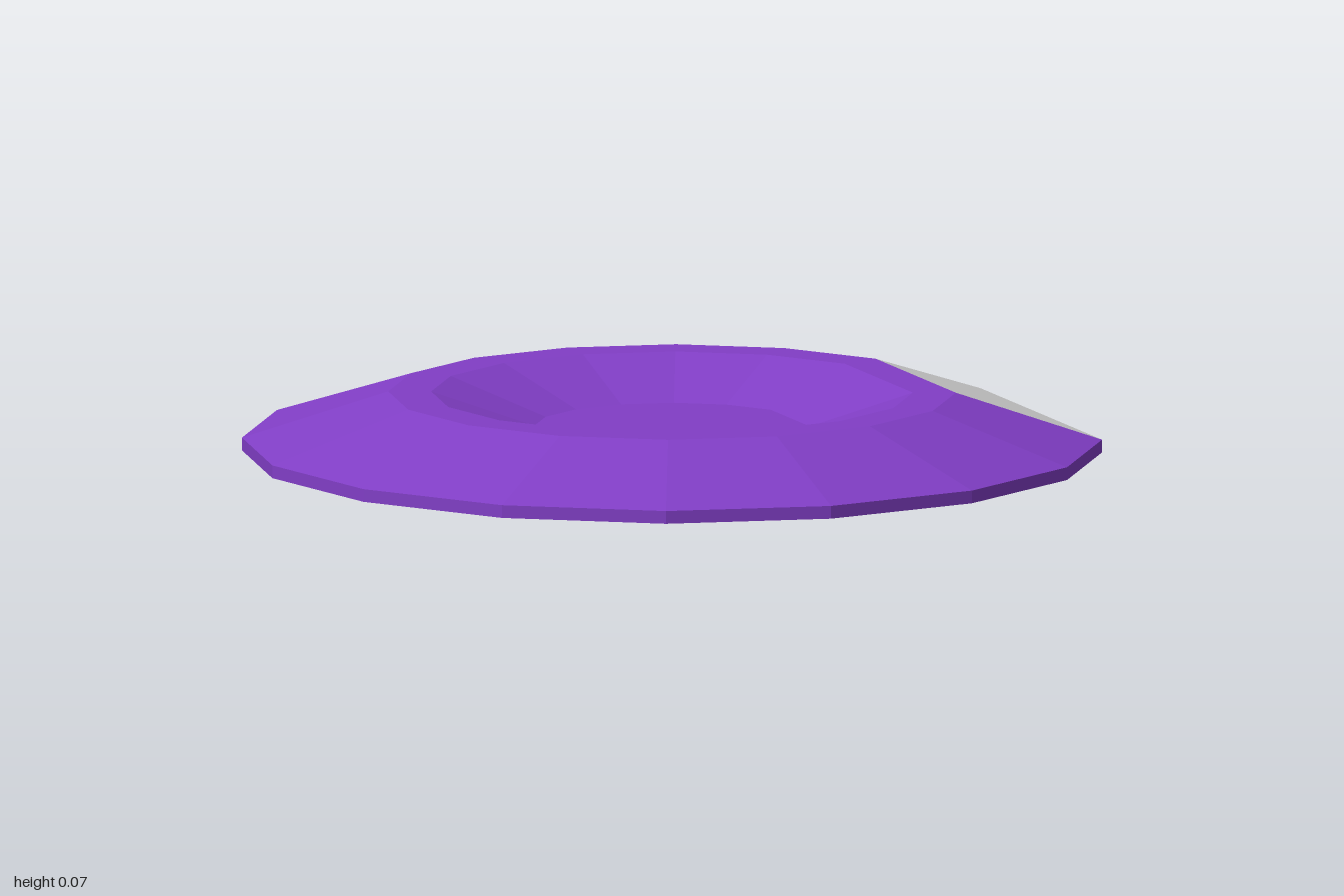
import * as THREE from 'three';

const STEPS = 16;          // sixteen-sided disc with the +x corner cut away
const CENTRE_X = 0.018;    // cutting that corner shifts the axis off x = 0

// One ring of 15 corners; the last edge closes across the cut corner.
function ring(radius, y) {
  const points = [];
  for (let k = 1; k < STEPS; k++) {
    const a = (k / STEPS) * Math.PI * 2;
    points.push(new THREE.Vector3(CENTRE_X + radius * Math.cos(a), y, -radius * Math.sin(a)));
  }
  return points;
}

// Quad strip from a lower/outer ring to an upper/inner ring, over edges first..last.
function band(outer, inner, first = 0, last = outer.length - 1) {
  const tris = [];
  for (let i = first; i <= last; i++) {
    const j = (i + 1) % outer.length;
    tris.push(outer[i], outer[j], inner[j], outer[i], inner[j], inner[i]);
  }
  return tris;
}

// Flat cap over a ring.
function cap(points, down = false) {
  const tris = [];
  for (let i = 1; i < points.length - 1; i++) {
    const [a, b] = down ? [points[i + 1], points[i]] : [points[i], points[i + 1]];
    tris.push(points[0], a, b);
  }
  return tris;
}

function part(name, tris, color) {
  const geometry = new THREE.BufferGeometry().setFromPoints(tris);
  geometry.computeVertexNormals();
  const mesh = new THREE.Mesh(geometry, new THREE.MeshStandardMaterial({ color, flatShading: true }));
  mesh.name = name;
  return mesh;
}

export function createModel() {
  const group = new THREE.Group();
  group.name = 'dish';
  const purple = 0x813ec6;

  const base = ring(0.5, 0);
  const edge = ring(0.5, 0.015);
  const rimOuter = ring(0.33, 0.07);
  const rimInner = ring(0.28, 0.07);
  const floor = ring(0.16, 0.03);
  const cut = base.length - 1;   // index of the wide edge facing +x

  group.add(
    part('underside', cap(base, true), purple),
    part('edge', band(base, edge), purple),
    part('outerSlope', band(edge, rimOuter, 0, cut - 1), purple),
    part('sidePanel', band(edge, rimOuter, cut, cut), 0xcccccc),
    part('rim', band(rimOuter, rimInner), purple),
    part('innerSlope', band(rimInner, floor), purple),
    part('bowlFloor', cap(floor), purple),
  );
  return group;
}
